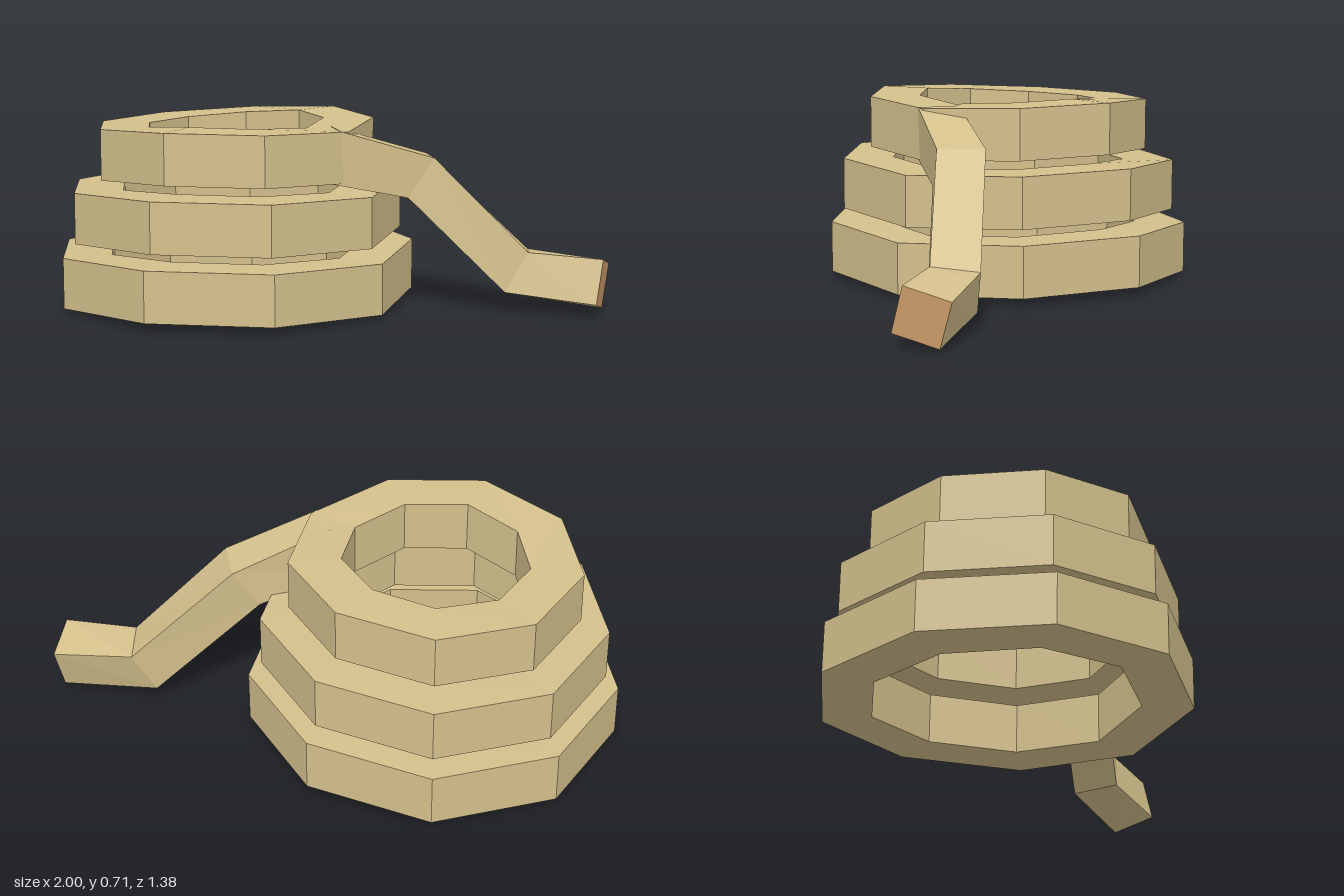
import * as THREE from 'three';

const rope = new THREE.MeshStandardMaterial({ color: 0xd4c08c });
rope.name = 'rope tan';
const cutEnd = new THREE.MeshStandardMaterial({ color: 0xd0a06c });
cutEnd.name = 'cut end orange';

// Flat-faced geometry from a list of quads, corners counter-clockwise
function quads(list) {
  const pos = [];
  for (const [a, b, c, d] of list) pos.push(...a, ...b, ...c, ...a, ...c, ...d);
  const g = new THREE.BufferGeometry();
  g.setAttribute('position', new THREE.Float32BufferAttribute(pos, 3));
  g.computeVertexNormals();
  return g;
}

// Skin four-cornered sections (left top, right top, right bottom, left bottom)
function loft(sections, closed) {
  const faces = [];
  const n = sections.length;
  for (let i = 0; i < (closed ? n : n - 1); i++) {
    const a = sections[i], b = sections[(i + 1) % n];
    for (let k = 0; k < 4; k++) {
      const m = (k + 1) % 4;
      faces.push([a[k], a[m], b[m], b[k]]);
    }
  }
  return faces;
}

function add(group, name, faces, material) {
  const mesh = new THREE.Mesh(quads(faces), material);
  mesh.name = name;
  group.add(mesh);
}

export function createModel() {
  const model = new THREE.Group();
  model.name = 'ropeCoil';

  // Three stacked nine-sided coils, sagging towards -x
  const thick = 0.195, centre = -0.343;
  const sag = [0.018, 0.03, 0.034, 0.014, 0.001];
  const coils = [
    ['bottomCoil', 0.699, 0],
    ['middleCoil', 0.65, 0.246],
    ['topCoil', 0.543, 0.483],
  ];
  for (const [name, radius, base] of coils) {
    const sections = [];
    for (let i = 0; i < 9; i++) {
      const t = (i / 9) * Math.PI * 2;
      const y = base + sag[Math.min(i, 9 - i)];
      const p = (r, h) => [centre + Math.cos(t) * r, y + h, Math.sin(t) * r];
      const inner = radius - thick;
      sections.push([p(radius, thick), p(inner, thick), p(inner, 0), p(radius, 0)]);
    }
    add(model, name, loft(sections, true), rope);
  }

  // Loose tail dropping from the top coil to the ground
  const tail = [
    [[0.07, 0.7, -0.07], [0.19, 0.698, 0.03], [0.165, 0.5, 0.05], [0.05, 0.5, -0.05]],
    [[0.31, 0.585, -0.365], [0.43, 0.59, -0.235], [0.36, 0.44, -0.165], [0.24, 0.435, -0.295]],
    [[0.64, 0.215, -0.58], [0.73, 0.232, -0.43], [0.665, 0.08, -0.37], [0.575, 0.057, -0.52]],
    [[0.94, 0.175, -0.68], [1, 0.222, -0.52], [1, 0.055, -0.473], [0.94, 0.01, -0.63]],
  ];
  add(model, 'looseTail', [...loft(tail, false), [...tail[0]].reverse()], rope);
  add(model, 'tailCutEnd', [tail[3]], cutEnd);

  return model;
}
